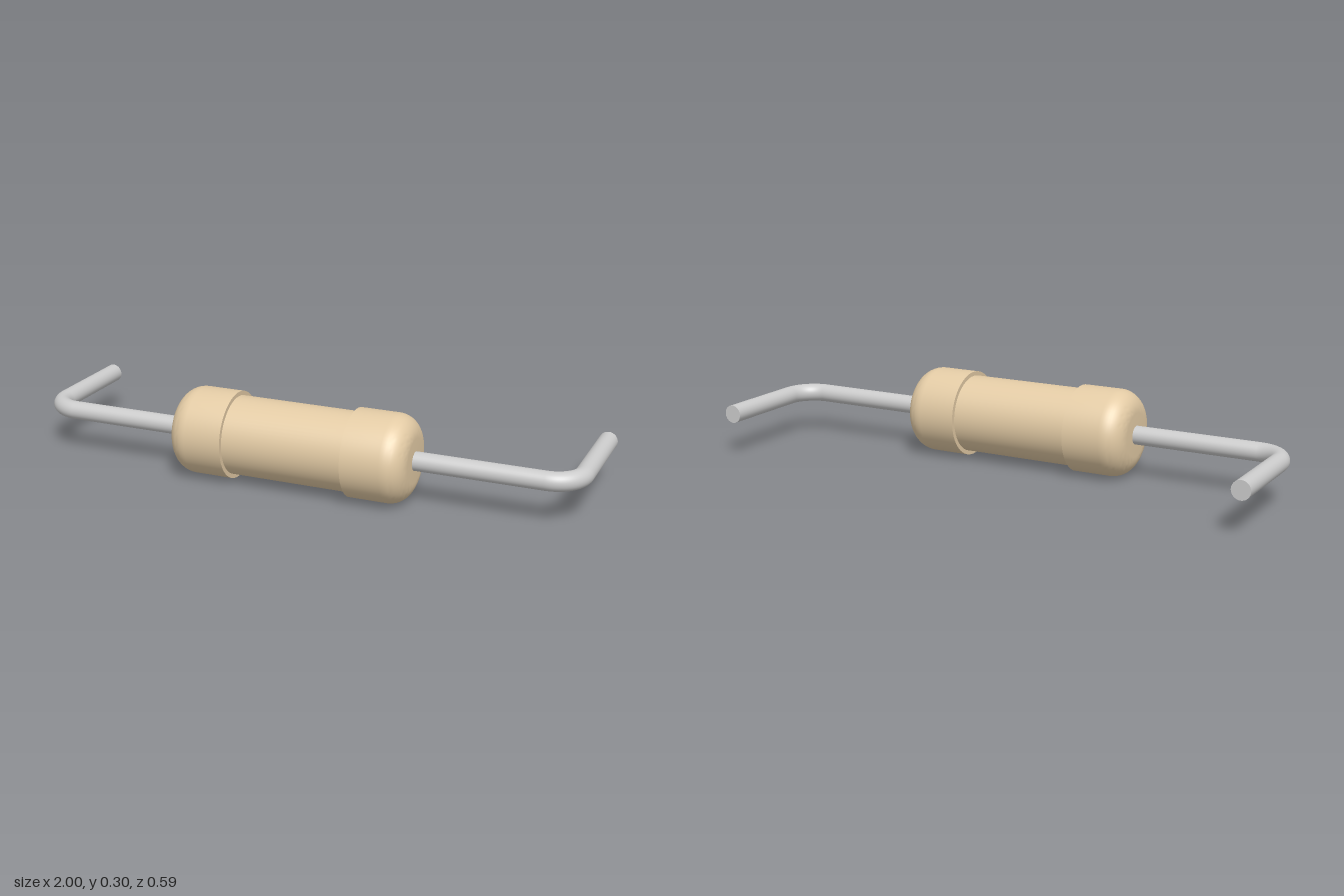
import * as THREE from 'three';
import { toCreasedNormals } from 'three/addons/utils/BufferGeometryUtils.js';

const AXIS_Y = 0.153, AXIS_Z = 0.144;
const CAP_R = 0.152, BODY_R = 0.137, FILLET = 0.075;
const CAP_IN = 0.217, CAP_OUT = 0.427;
const WIRE_R = 0.0325, WIRE_X = 0.9675, BEND = 0.1, WIRE_END = -0.295;

// Turn a (radius, x) profile around the x axis
function turned(name, profile, material) {
  const lathe = new THREE.LatheGeometry(profile.map(([r, x]) => new THREE.Vector2(r, x)), 64);
  lathe.rotateZ(-Math.PI / 2);
  const mesh = new THREE.Mesh(toCreasedNormals(lathe, 0.6), material);
  mesh.name = name;
  return mesh;
}

// Wire lead leaving the cap along x, then bending towards the back
function makeLead(side, material) {
  const lead = new THREE.Group();
  lead.name = side > 0 ? 'leftLead' : 'rightLead';
  const p = (x, z) => new THREE.Vector3(side * x, 0, z);
  const k = BEND * (1 - 0.5523);
  const endZ = WIRE_END - AXIS_Z;
  const path = new THREE.CurvePath();
  path.add(new THREE.LineCurve3(p(CAP_OUT - 0.04, 0), p(WIRE_X - BEND, 0)));
  path.add(new THREE.CubicBezierCurve3(
    p(WIRE_X - BEND, 0), p(WIRE_X - k, 0), p(WIRE_X, -k), p(WIRE_X, -BEND)));
  path.add(new THREE.LineCurve3(p(WIRE_X, -BEND), p(WIRE_X, endZ)));
  const wire = new THREE.Mesh(new THREE.TubeGeometry(path, 120, WIRE_R, 32), material);
  wire.name = 'wire';
  // Flat cut end
  const tip = new THREE.Mesh(new THREE.CircleGeometry(WIRE_R, 32), material);
  tip.name = 'wireTip';
  tip.rotation.y = Math.PI;
  tip.position.copy(p(WIRE_X, endZ));
  lead.add(wire, tip);
  return lead;
}

export function createModel() {
  const model = new THREE.Group();
  model.name = 'resistor';
  const shell = new THREE.MeshStandardMaterial({ color: 0xe3cba5 });
  const metal = new THREE.MeshStandardMaterial({ color: 0xcccccc });

  // Slim cylinder between the caps
  model.add(turned('body', [[BODY_R, -CAP_IN - 0.01], [BODY_R, CAP_IN + 0.01]], shell));

  // Cap profile: step, straight side, rounded shoulder, flat end
  const profile = [[BODY_R - 0.005, CAP_IN], [CAP_R, CAP_IN]];
  for (let i = 0; i <= 12; i++) {
    const a = (i / 12) * Math.PI / 2;
    profile.push([CAP_R - FILLET + FILLET * Math.cos(a), CAP_OUT - FILLET + FILLET * Math.sin(a)]);
  }
  profile.push([0, CAP_OUT]);

  for (const side of [1, -1]) {
    const cap = turned(side > 0 ? 'leftCap' : 'rightCap', profile, shell);
    if (side < 0) cap.rotation.y = Math.PI;
    model.add(cap, makeLead(side, metal));
  }

  model.position.set(0, AXIS_Y, AXIS_Z);
  const root = new THREE.Group();
  root.add(model);
  return root;
}
